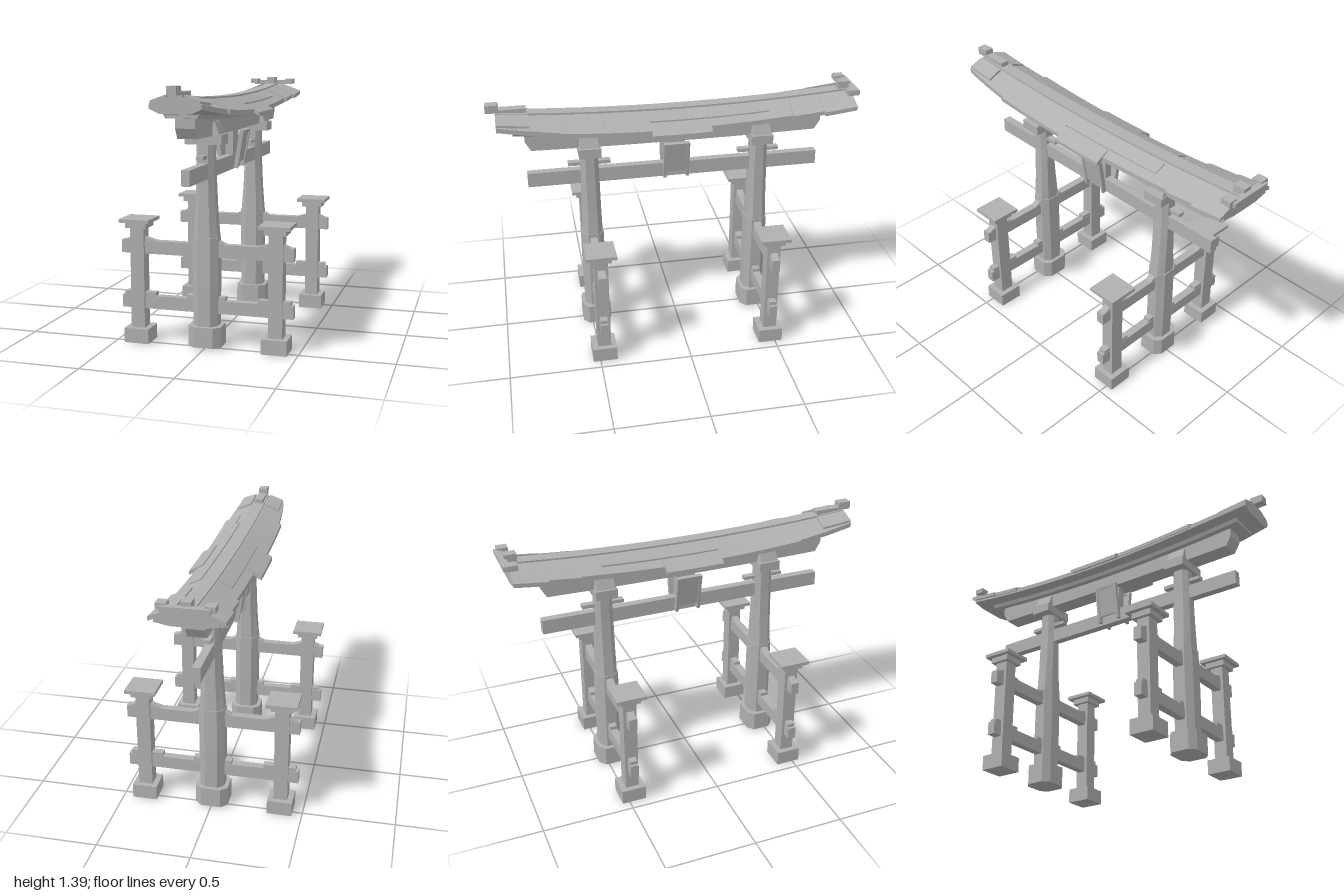
import * as THREE from 'three';

const stone = new THREE.MeshStandardMaterial({ color: 0xb0b0b0, flatShading: true });
stone.name = 'grey stone';

function add(parent, name, geo, x = 0, y = 0, z = 0) {
  const m = new THREE.Mesh(geo, stone);
  m.name = name;
  m.position.set(x, y, z);
  parent.add(m);
  return m;
}

// Box given by its limits on each axis
function block(parent, name, x0, x1, y0, y1, z0, z1) {
  return add(parent, name, new THREE.BoxGeometry(x1 - x0, y1 - y0, z1 - z0),
    (x0 + x1) / 2, (y0 + y1) / 2, (z0 + z1) / 2);
}

// Solid along z: profile(z) returns a counter-clockwise loop of [x, y]
function loft(zs, profile) {
  const loops = zs.map((z) => profile(z).map(([x, y]) => [x, y, z]));
  const pos = [];
  const tri = (a, b, c) => pos.push(...a, ...b, ...c);
  for (let s = 0; s < loops.length - 1; s++) {
    const a = loops[s], b = loops[s + 1], n = a.length;
    for (let i = 0; i < n; i++) {
      const j = (i + 1) % n;
      tri(a[i], a[j], b[j]);
      tri(a[i], b[j], b[i]);
    }
  }
  const cap = (loop, flip) => {
    const faces = THREE.ShapeUtils.triangulateShape(loop.map((p) => new THREE.Vector2(p[0], p[1])), []);
    for (const [i, j, k] of faces) flip ? tri(loop[i], loop[k], loop[j]) : tri(loop[i], loop[j], loop[k]);
  };
  cap(loops[0], true);
  cap(loops[loops.length - 1], false);
  const g = new THREE.BufferGeometry();
  g.setAttribute('position', new THREE.Float32BufferAttribute(pos, 3));
  g.computeVertexNormals();
  return g;
}

// Chamfered column: rows of [y, half width x, half width z]
function column(rows, chamfer) {
  const g = loft(rows.map((r) => r[0]), (y) => {
    const [, a, b] = rows.find((r) => r[0] === y);
    const c = chamfer;
    return [[a, -b * c], [a, b * c], [a * c, b], [-a * c, b], [-a, b * c], [-a, -b * c], [-a * c, -b], [a * c, -b]];
  });
  return g.rotateX(-Math.PI / 2);
}

const range = (a, b, n) => Array.from({ length: n + 1 }, (_, i) => a + (b - a) * i / n);
const curve = (z) => (z / 0.95) ** 2;
const rise = (x, z) => (0.03 + 0.03 * Math.min(1, Math.abs(x) / 0.16)) * curve(z);

// Height of the roof surface
function roofY(x, z) {
  const t = Math.max(0, (Math.abs(x) - 0.04) / 0.12);
  return 1.3 - 0.065 * t + rise(x, z);
}

// Sheet following the roof between two x limits
function sheet(x0, x1, z0, z1, lift, thick) {
  const n = Math.max(2, Math.ceil((z1 - z0) / 0.15));
  return loft(range(z0, z1, n), (z) => [
    [x0, roofY(x0, z) + lift - thick], [x1, roofY(x1, z) + lift - thick],
    [x1, roofY(x1, z) + lift], [x0, roofY(x0, z) + lift]]);
}

function buildRoof(root) {
  const roof = new THREE.Group();
  roof.name = 'roof';
  root.add(roof);

  // Curved lintel under the roof
  add(roof, 'lintel', loft([-0.81, -0.78, -0.55, -0.3, 0, 0.3, 0.55, 0.78, 0.81], (z) => {
    const lo = Math.abs(z) > 0.8 ? 1.18 : 1.12 + 0.012 * curve(z), hi = 1.205 + 0.03 * curve(z);
    return [[-0.05, lo], [0.05, lo], [0.05, hi], [-0.05, hi]];
  }));
  add(roof, 'soffit', loft(range(-0.87, 0.87, 12), (z) => {
    const r = 0.045 * curve(z);
    return [[-0.08, 1.195 + r], [0.08, 1.195 + r], [0.1, 1.235 + r], [-0.1, 1.235 + r]];
  }));

  // Main roof body, narrowing at the front end
  add(roof, 'roofBody', loft([-0.97, -0.8, -0.62, -0.4, -0.2, 0, 0.2, 0.4, 0.62, 0.8, 0.95], (z) => {
    const w = z > 0.62 ? 0.16 - (z - 0.62) * 0.09 : 0.155;
    const eave = roofY(w, z), under = 1.213 + 0.045 * curve(z);
    return [[-0.08, under], [0.08, under], [w, eave - 0.025], [w, eave],
      [0.04, roofY(0.04, z)], [-0.04, roofY(0.04, z)], [-w, eave], [-w, eave - 0.025]];
  }));
  add(roof, 'ridge', sheet(-0.035, 0.035, -0.95, 0.95, 0.01, 0.02));

  // Overlapping slabs: inner x, outer x, z range, lift
  const slabs = [
    [0.12, 0.197, -0.17, 0.15, 0.008],
    [0.08, 0.168, 0.15, 0.62, 0.008],
    [0.06, 0.17, -0.8, -0.62, 0.01],
    [0.06, 0.183, -0.97, -0.79, 0.014],
    [0.05, 0.11, -0.5, 0.47, 0.008],
    [0.045, 0.125, 0.78, 0.95, 0.012],
  ];
  for (const [a, b, z0, z1, lift] of slabs) {
    add(roof, 'roofSlab', sheet(a, b, z0, z1, lift, 0.022));
    add(roof, 'roofSlab', sheet(-b, -a, z0, z1, lift, 0.022));
  }

  // Front ridge finial
  block(roof, 'frontFinial', -0.025, 0.025, 1.335, 1.36, 0.79, 0.95);
  block(roof, 'frontFinialTip', -0.025, 0.025, 1.345, 1.388, 0.93, 1);
  // Rear crosspiece with raised ends
  block(roof, 'rearCrosspiece', -0.12, 0.12, 1.34, 1.365, -1, -0.965);
  block(roof, 'rearFinial', -0.025, 0.025, 1.33, 1.385, -0.975, -0.91);
  for (const s of [-1, 1]) block(roof, 'crosspieceEnd', s * 0.115 - 0.025, s * 0.115 + 0.025, 1.345, 1.375, -0.985, -0.93);
}

function buildPillar(root, z) {
  const g = new THREE.Group();
  g.name = 'mainPillar';
  g.position.z = z;
  root.add(g);
  add(g, 'pillarBase', column([[0.01, 0.089, 0.08], [0.12, 0.089, 0.08]], 0.6));
  add(g, 'lowerShaft', column([[0.11, 0.066, 0.06], [0.35, 0.069, 0.062], [0.592, 0.069, 0.06]], 0.5));
  add(g, 'upperShaft', column([[0.58, 0.067, 0.055], [0.74, 0.055, 0.052], [0.93, 0.047, 0.05], [1.1, 0.047, 0.046]], 0.5));
  block(g, 'pillarCap', -0.098, 0.098, 1.078, 1.13, -0.06, 0.06);
  add(g, 'pillarCapTop', column([[1.13, 0.085, 0.055], [1.195, 0.06, 0.05]], 0.95));
  block(g, 'pillarPeg', -0.018, 0.018, 1.004, 1.024, -0.115, 0.115);

  // Cross rails through the pillar, with wedges at every joint
  for (const y of [0.185, 0.485]) {
    block(g, 'rail', -0.47, 0.47, y, y + 0.07, -0.022, 0.022);
    for (const s of [-1, 1]) {
      for (const [a, b] of [[0.065, 0.105], [0.28, 0.345], [0.41, 0.455]]) {
        const from = Math.min(s * a, s * b), to = Math.max(s * a, s * b);
        const tall = s * (a > 0.2 && a < 0.4 ? 1 : -1) > 0;
        const low = y > 0.3 ? 0 : 0.02;
        add(g, 'wedge', loft([-0.02, 0.02], () => [[from, y + 0.06], [to, y + 0.06],
          [to, y + 0.07 + (tall ? 0.02 : low)], [from, y + 0.07 + (tall ? low : 0.02)]]));
      }
    }
  }

  // Side posts
  for (const s of [-1, 1]) {
    const post = new THREE.Group();
    post.name = 'sidePost';
    post.position.x = s * 0.378;
    g.add(post);
    block(post, 'postBase', -0.068, 0.068, 0, 0.08, -0.067, 0.067);
    block(post, 'postShaft', -0.038, 0.038, 0.08, 0.63, -0.037, 0.037);
    block(post, 'postCapLower', -0.058, 0.058, 0.625, 0.658, -0.057, 0.057);
    block(post, 'postCapUpper', -0.083, 0.083, 0.656, 0.675, -0.082, 0.082);
  }
}

export function createModel() {
  const root = new THREE.Group();
  root.name = 'gate';
  buildPillar(root, 0.473);
  buildPillar(root, -0.473);
  block(root, 'tieBeam', -0.022, 0.022, 0.9, 0.98, -0.81, 0.81);

  // Central strut with a tilted framed tablet on each face
  block(root, 'centreStrut', -0.022, 0.022, 0.97, 1.125, -0.055, 0.055);
  for (const s of [-1, 1]) {
    const tablet = new THREE.Group();
    tablet.name = 'tablet';
    tablet.position.set(s * 0.058, 1.01, 0);
    tablet.rotation.z = -s * 0.16;
    root.add(tablet);
    block(tablet, 'tabletPanel', -0.006, 0.006, -0.07, 0.1, -0.055, 0.055);
    block(tablet, 'tabletTop', -0.012, 0.012, 0.095, 0.11, -0.07, 0.07);
    for (const e of [-1, 1]) block(tablet, 'tabletSide', -0.012, 0.012, -0.105, 0.11, e * 0.063 - 0.008, e * 0.063 + 0.008);
  }

  buildRoof(root);
  return root;
}
